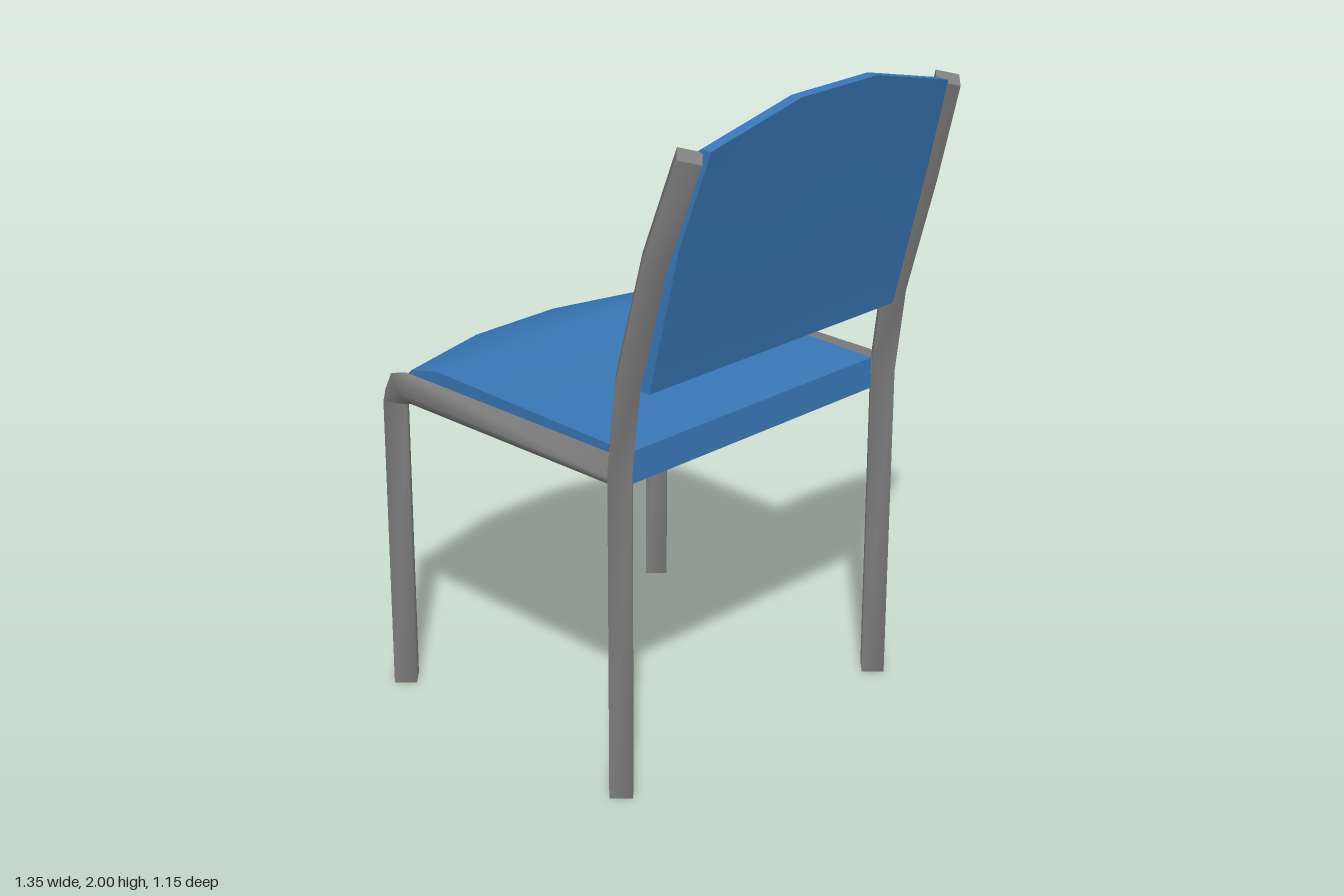
import * as THREE from 'three';
import { toCreasedNormals } from 'three/addons/utils/BufferGeometryUtils.js';

// Skin a row of equal-length point loops and close both ends with fans
function loft(sections) {
  const n = sections[0].length, last = sections.length - 1;
  const pos = sections.flat(2), idx = [];
  for (let i = 0; i < last; i++) {
    for (let j = 0; j < n; j++) {
      const k = (j + 1) % n;
      const a = i * n + j, b = i * n + k, c = b + n, d = a + n;
      idx.push(a, b, c, a, c, d);
    }
  }
  for (const end of [0, last]) {
    const base = pos.length / 3;
    pos.push(...sections[end].flat());
    for (let j = 1; j < n - 1; j++) {
      if (end) idx.push(base, base + j, base + j + 1);
      else idx.push(base, base + j + 1, base + j);
    }
  }
  const g = new THREE.BufferGeometry();
  g.setAttribute('position', new THREE.Float32BufferAttribute(pos, 3));
  g.setIndex(idx);
  g.computeVertexNormals();
  return g;
}

// Diamond-section tube with mitred bends along a path of [x, y, z]
function tube(path, r = 0.047) {
  const dir = (a, b) => new THREE.Vector2(b[0] - a[0], b[1] - a[1]).normalize();
  return loft(path.map((p, i) => {
    const before = dir(path[Math.max(i - 1, 0)], path[Math.max(i, 1)]);
    const after = i < path.length - 1 ? dir(p, path[i + 1]) : before;
    const t = before.clone().add(after).normalize();
    const m = r / t.dot(before);
    const nx = -t.y * m, ny = t.x * m, [x, y, z] = p;
    return [[x, y, z + r], [x - nx, y - ny, z], [x, y, z - r], [x + nx, y + ny, z]];
  }));
}

export function createModel() {
  const model = new THREE.Group();
  model.name = 'chair';
  const blue = new THREE.MeshStandardMaterial({ color: 0x3a78b8 });
  blue.name = 'blue upholstery';
  const grey = new THREE.MeshStandardMaterial({ color: 0x808080 });
  grey.name = 'grey metal';
  const add = (name, geometry, material) => {
    const mesh = new THREE.Mesh(geometry, material);
    mesh.name = name;
    model.add(mesh);
  };

  // Bent metal frame on each side; the chair faces -x
  for (const s of [-1, 1]) {
    const side = s > 0 ? 'PlusZ' : 'MinusZ';
    const z = s * 0.528;
    add('frontLegAndRail' + side, tube([
      [-0.548, 0, z], [-0.548, 0.92, z], [-0.533, 0.95, z],
      [-0.49, 0.964, z], [0.39, 0.982, z],
    ]), grey);
    add('rearLegAndBackPost' + side, tube([
      [0.39, 0, z], [0.392, 0.99, z], [0.425, 1.255, z],
      [0.525, 1.615, z], [0.618, 1.91, s * 0.498],
    ]), grey);
  }

  // Seat cushion: front edge is rounded down and pulled back at the corners
  const seatProfile = [[-0.675, 0.9], [0.385, 0.93], [0.385, 1.025], [-0.41, 1.025], [-0.62, 0.99], [-0.675, 0.94]];
  const seat = [-1, -0.33, 0.33, 1].map((w) => {
    const edge = Math.abs(w) === 1;
    return seatProfile.map(([x, y]) => {
      const front = x < -0.5;
      return [x + (edge && front ? 0.08 : 0), y, w * (front ? 0.472 : 0.485)];
    });
  });
  add('seatCushion', toCreasedNormals(loft(seat), 0.7), blue);

  // Backrest: leaning pad with a crowned top, lower and narrower at the corners
  const backProfile = [[0.4, 1.215], [0.46, 1.215], [0.57, 1.65], [0.67, 2], [0.635, 2], [0.565, 1.95], [0.49, 1.74], [0.385, 1.36]];
  const back = [-1, -0.32, 0.32, 1].map((w) => {
    const edge = Math.abs(w) === 1;
    return backProfile.map(([x, y]) => {
      const top = y > 1.9;
      return [x - (edge && top ? 0.017 : 0), y - (edge && top ? 0.08 : 0), w * (top ? 0.457 : 0.485)];
    });
  });
  add('backrest', toCreasedNormals(loft(back), 0.6), blue);

  return model;
}
